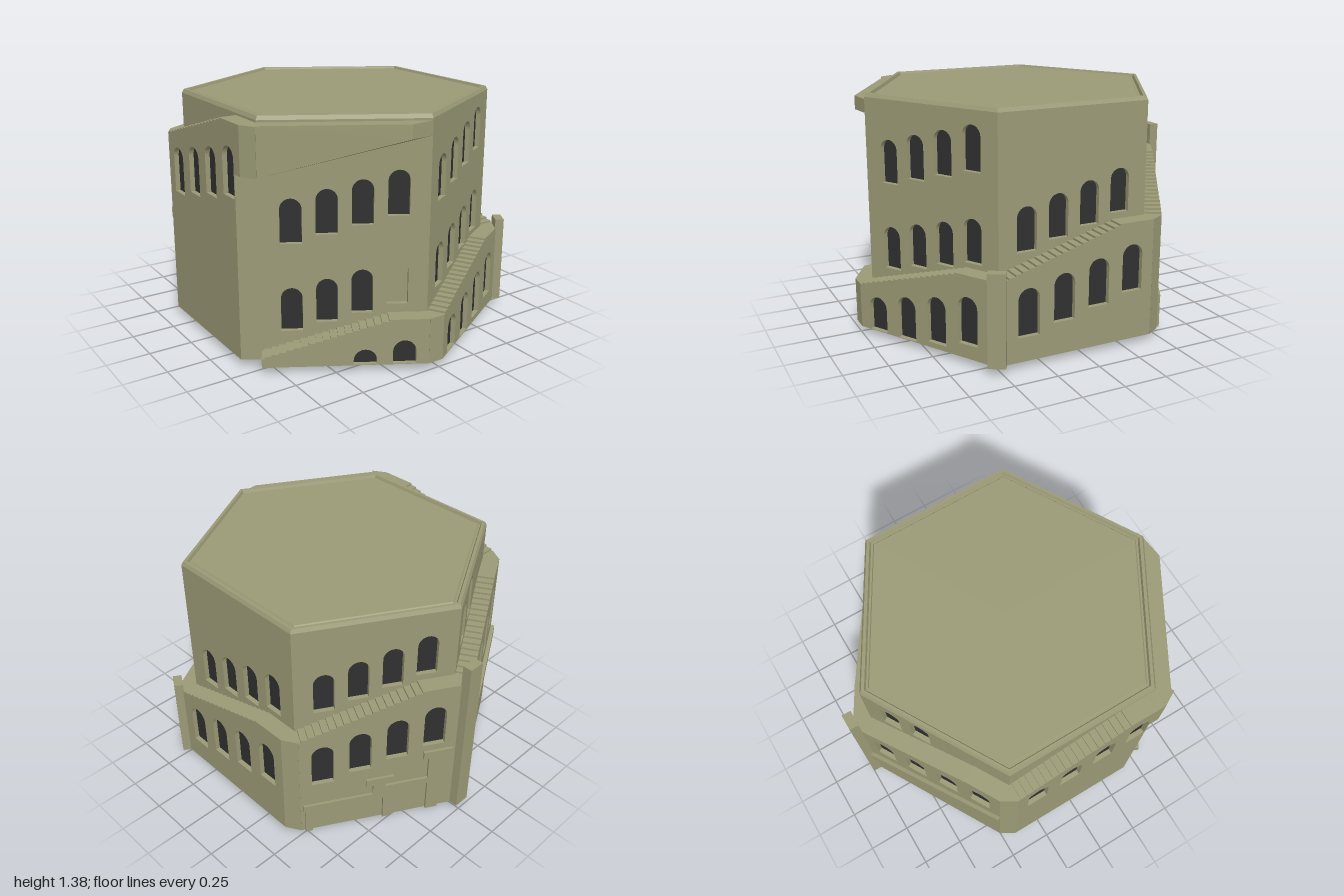
import * as THREE from 'three';
import { ConvexGeometry } from 'three/addons/geometries/ConvexGeometry.js';

const stone = new THREE.MeshStandardMaterial({ color: 0x9b9a76 });
stone.name = 'olive stone';
const dark = new THREE.MeshStandardMaterial({ color: 0x303030 });
dark.name = 'dark window';

const IN = 0.77, OUT = 0.868;            // distance of tower wall and stair wall from the axis
const HALF_IN = IN / Math.sqrt(3);       // half length of a tower side
const HALF_OUT = OUT / Math.sqrt(3);
const END = 0.4455;                      // half length of a stair flight
const BASE = 0.04, REVEAL = 0.03, RISE = 0.209, START = 0.091;
const level = (k) => START + RISE * (k + 1);   // landing height at the end of side k

function add(parent, name, geometry, material = stone) {
  const mesh = new THREE.Mesh(geometry, material);
  mesh.name = name;
  parent.add(mesh);
  return mesh;
}

function box(parent, name, x0, x1, y0, y1, z0, z1) {
  const g = new THREE.BoxGeometry(x1 - x0, y1 - y0, z1 - z0);
  return add(parent, name, g.translate((x0 + x1) / 2, (y0 + y1) / 2, (z0 + z1) / 2));
}

// upright prism over a convex plan of [x, z] points
function prism(parent, name, plan, y0, y1) {
  const pts = plan.flatMap(([x, z]) => [new THREE.Vector3(x, y0, z), new THREE.Vector3(x, y1, z)]);
  return add(parent, name, new ConvexGeometry(pts));
}

function extrude(shape, z0, z1) {
  const g = new THREE.ExtrudeGeometry(shape, { depth: z1 - z0, bevelEnabled: false, curveSegments: 8 });
  return g.translate(0, 0, z0);
}

// round-headed opening
function arch(Type, t, bottom, width, height) {
  const r = width / 2, y0 = Math.max(bottom, BASE + 0.004), y1 = bottom + height - r;
  const p = new Type();
  p.moveTo(t - r, y0);
  p.lineTo(t + r, y0);
  p.lineTo(t + r, y1);
  p.absarc(t, y1, r, 0, Math.PI, false);
  p.lineTo(t - r, y0);
  return p;
}

// row of four openings climbing with the stair; "only" picks some of them
function row(base, spacing, width, height, only = [0, 1, 2, 3]) {
  return only.map((i) => [(i - 1.5) * spacing, base + i * 0.048, width, height]);
}

function panes(parent, windows, z, blind = -1) {
  windows.forEach((w, i) => {
    const g = new THREE.ShapeGeometry(arch(THREE.Shape, ...w), 8).translate(0, 0, z);
    add(parent, i === blind ? 'blindWindow' : 'windowPane', g, i === blind ? stone : dark);
  });
}

// stepped outline of one flight
function flightShape(k, end) {
  const s = new THREE.Shape(), steps = 18, t0 = 0.07 - HALF_OUT, run = 0.7 / steps;
  s.moveTo(-END, BASE);
  s.lineTo(end, BASE);
  s.lineTo(end, level(k));
  for (let i = steps - 1; i >= 0; i--) {
    const x = t0 + i * run;
    s.lineTo(x, level(k) - RISE * (steps - 1 - i) / steps);
    s.lineTo(x, level(k) - RISE * (steps - i) / steps);
  }
  s.lineTo(-END, level(k) - RISE);
  return s;
}

export function createModel() {
  const model = new THREE.Group();
  model.name = 'hexagonalTower';
  const tower = new THREE.Group();
  tower.name = 'tower';
  tower.position.set(-0.023, 0, 0.025);
  model.add(tower);

  // core, roof with raised rim, and peg underneath
  const coreR = (IN - REVEAL) * 2 / Math.sqrt(3);
  const core = new THREE.CylinderGeometry(coreR, coreR, 1.28, 6).translate(0, 0.72, 0).toNonIndexed();
  core.computeVertexNormals();
  add(tower, 'core', core);
  const lathe = (name, pts, sides) => {
    const g = new THREE.LatheGeometry(pts.map((p) => new THREE.Vector2(...p)), sides).toNonIndexed();
    g.computeVertexNormals();
    add(tower, name, g);
  };
  lathe('roof', [[0.889, 1.357], [0.877, 1.378], [0.858, 1.378], [0.85, 1.36], [0.838, 1.36],
    [0.83, 1.37], [0, 1.37]], 6);
  lathe('bottomPeg', [[0, 0.03], [0.02, 0.03], [0.028, 0], [0.045, 0.04], [0.045, 0.085]], 8);

  const innerBases = [[0.205, 0.70], [0.393, 0.89], [0.61], [0.82], [1.03], []];
  const outerBases = [-0.235, -0.025, 0.178, 0.387, 0.595, 0.80];

  for (let k = 0; k < 6; k++) {
    const side = new THREE.Group();
    side.name = 'side' + (k + 1);
    side.rotation.y = THREE.MathUtils.degToRad(60 * k - 30);
    tower.add(side);

    // tower wall with openings, its ends mitred to the next side
    const wall = new THREE.Shape();
    wall.moveTo(-HALF_IN, 0.06);
    wall.lineTo(HALF_IN, 0.06);
    wall.lineTo(HALF_IN, 1.357);
    wall.lineTo(-HALF_IN, 1.357);
    const inner = innerBases[k].flatMap((b) => row(b, 0.187, 0.115, 0.247, k === 4 ? [0, 1] : undefined));
    inner.forEach((w) => wall.holes.push(arch(THREE.Path, ...w)));
    const wallGeo = extrude(wall, IN - REVEAL, IN);
    const p = wallGeo.attributes.position;
    for (let i = 0; i < p.count; i++) {
      if (Math.abs(p.getX(i)) > HALF_IN - 0.01) p.setX(i, Math.sign(p.getX(i)) * p.getZ(i) / Math.sqrt(3));
    }
    wallGeo.computeVertexNormals();
    add(side, 'towerWall', wallGeo);
    panes(side, inner, IN - REVEAL + 0.002, k === 0 ? 3 : -1);

    // stair flight with openings in its outer wall
    const end = k === 5 ? 0.386 : END;
    const outer = row(outerBases[k], 0.21, 0.125, 0.27, k === 0 ? [2, 3] : undefined);
    add(side, 'stairFlight', extrude(flightShape(k, end), IN, OUT - REVEAL));
    const skin = flightShape(k, end);
    outer.forEach((w) => skin.holes.push(arch(THREE.Path, ...w)));
    add(side, 'stairWall', extrude(skin, OUT - REVEAL, OUT));
    panes(side, outer, OUT - REVEAL + 0.002);

    if (k === 0) {
      // overhanging top landing, its underside sloping up to the front corner
      const plan = [[-END, IN, 1.08], [-END, 0.852, 1.08], [0.33, 0.852, 1.268], [HALF_IN, IN, 1.268]];
      add(side, 'topLanding', new ConvexGeometry(plan.flatMap(([x, z, y]) =>
        [new THREE.Vector3(x, y, z), new THREE.Vector3(x, level(5), z)])));
    }
    if (k === 3) {
      // raised pipe-like relief: [s0, s1, y0, y1] along the side
      const relief = [[0.07, 0.55, 0.2, 0.24], [0.08, 0.12, BASE, 0.2], [0.53, 0.58, BASE, 0.25],
        [0.43, 0.59, 0.31, 0.355], [0.47, 0.54, 0.24, 0.31], [0.53, 0.79, 0.25, 0.29],
        [0.76, 0.93, 0.44, 0.49], [0.79, 0.86, BASE, 0.44]];
      relief.forEach(([a, b, y0, y1]) =>
        box(side, 'relief', a - HALF_OUT, b - HALF_OUT, y0, y1, OUT - 0.005, OUT + 0.015));
    }
    if (k === 4) {
      // sloping ledge
      const ledge = new THREE.Shape([[-END, 0.35], [END, 0.585], [END, 0.65], [-END, 0.45]]
        .map((q) => new THREE.Vector2(...q)));
      add(side, 'slopingLedge', extrude(ledge, OUT - 0.005, OUT + 0.022));
    }
    if (k === 5) {
      // end of the last flight, cut flush with the next tower wall
      prism(side, 'flightEnd', [[end, IN], [HALF_IN, IN], [end, OUT]], BASE, level(5));
      box(side, 'landingEnd', end, END, 1.08, level(5), IN, OUT);
    }

    // landing block at the corner after this side
    const corner = new THREE.Group();
    corner.name = 'corner' + (k + 1);
    corner.rotation.y = THREE.MathUtils.degToRad(60 * k);
    tower.add(corner);
    prism(corner, 'cornerLanding', [[0, 2 * HALF_IN], [-0.048, 0.975], [0.048, 0.975]],
      k === 5 ? 1.08 : BASE, level(k));
    if (k === 1) box(corner, 'pillar', -0.048, 0.048, BASE, 0.562, 0.97, 1.022);
    if (k === 3) box(corner, 'pillar', -0.048, 0.048, BASE, 1.055, 0.97, 1.025);
  }
  return model;
}
